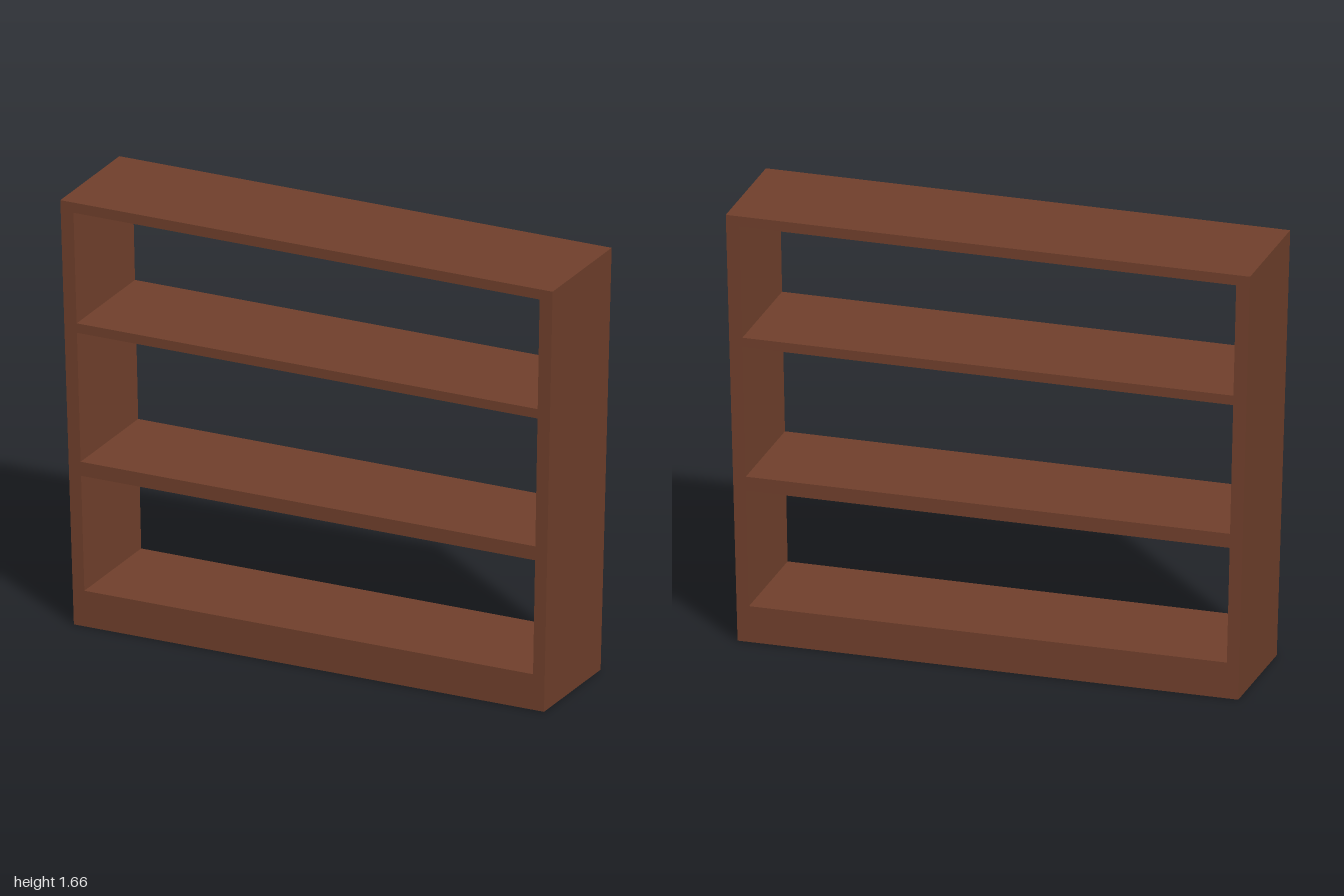
import * as THREE from 'three';

const HEIGHT = 1.66;
const BACK = -0.24;
const outerX = (y) => 0.955 + 0.045 * (y / HEIGHT); // sides flare outward going up
const innerX = (y) => 0.908 + 0.024 * y;
const frontZ = (y) => 0.22 + 0.02 * (y / HEIGHT); // front leans slightly forward

// A board from y0 to y1 whose ends and front follow the case's taper
function board(name, y0, y1, leftX, rightX, material) {
  const geometry = new THREE.BoxGeometry(1, 1, 1);
  const p = geometry.attributes.position;
  for (let i = 0; i < p.count; i++) {
    const y = p.getY(i) > 0 ? y1 : y0;
    p.setXYZ(i, p.getX(i) > 0 ? leftX(y) : rightX(y), y, p.getZ(i) > 0 ? frontZ(y) : BACK);
  }
  geometry.computeVertexNormals();
  const mesh = new THREE.Mesh(geometry, material);
  mesh.name = name;
  return mesh;
}

export function createModel() {
  const group = new THREE.Group();
  group.name = 'bookcase';
  const wood = new THREE.MeshStandardMaterial({ color: 0x6f3f2b });
  wood.name = 'brown wood';

  // Upright side panels
  group.add(board('leftSide', 0, HEIGHT, outerX, innerX, wood));
  group.add(board('rightSide', 0, HEIGHT, (y) => -innerX(y), (y) => -outerX(y), wood));

  // Horizontal boards between the sides
  const levels = [
    ['base', 0, 0.14],
    ['lowerShelf', 0.59, 0.645],
    ['upperShelf', 1.15, 1.187],
    ['topPanel', 1.62, HEIGHT],
  ];
  for (const [name, y0, y1] of levels) {
    group.add(board(name, y0, y1, innerX, (y) => -innerX(y), wood));
  }
  return group;
}
